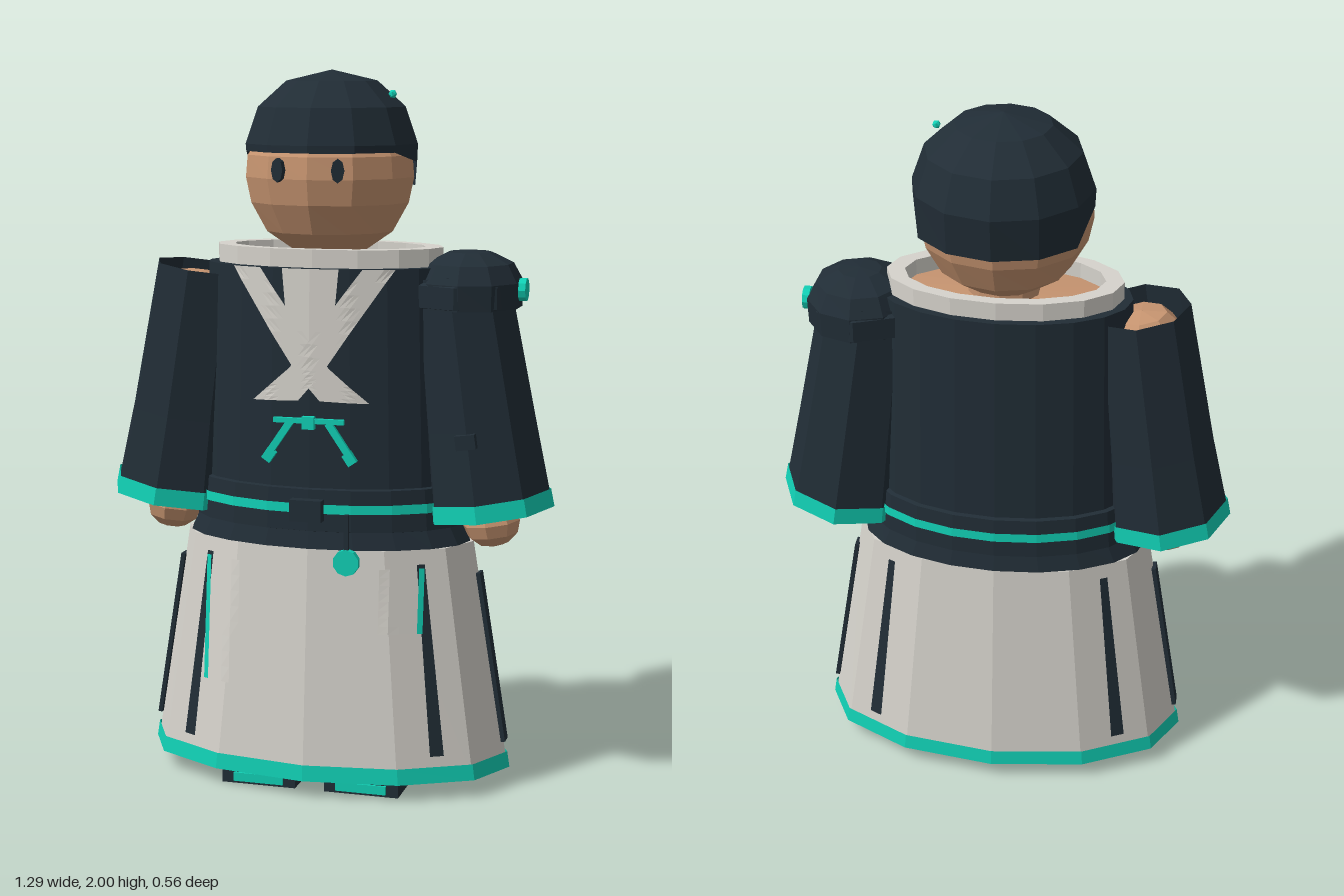
import * as THREE from 'three';

const paint = (name, color) => new THREE.MeshStandardMaterial({ name, color, side: THREE.DoubleSide });

// Elliptical loft: rows of [rx, rz, y] from bottom to top
function loft(rows, n) {
  const g = new THREE.LatheGeometry(rows.map(r => new THREE.Vector2(Math.max(r[0], 0.0001), r[2])), n);
  const p = g.attributes.position;
  for (let i = 0; i < p.count; i++) {
    const r = rows[i % rows.length];
    p.setZ(i, p.getZ(i) * r[1] / Math.max(r[0], 0.0001));
  }
  return g;
}

// Front depth of an n-sided elliptical ring at x
function ringZ(x, rx, rz, n) {
  const step = 2 * Math.PI / n, u = Math.min(Math.abs(x) / rx, 0.999);
  const a = Math.floor(Math.asin(u) / step) * step;
  const t = (u - Math.sin(a)) / (Math.sin(a + step) - Math.sin(a));
  return rz * (Math.cos(a) + t * (Math.cos(a + step) - Math.cos(a)));
}
const TORSO_N = 20, SKIRT_N = 12;
const torsoZ = (x, y) => {
  const t = (y - 0.78) / 0.69;
  return ringZ(x, 0.37 - 0.02 * t, 0.203 - 0.01 * t, TORSO_N);
};
const skirtZ = (x, y) => {
  const t = (y - 0.05) / 0.65;
  return ringZ(x, 0.525 - 0.105 * t, 0.275 - 0.053 * t, SKIRT_N);
};

// Thin patch laid on a surface: corners top-left, top-right, bottom-right, bottom-left
function patch([a, b, c, d], surface, lift, back = 1) {
  const g = new THREE.PlaneGeometry(1, 1, 6, 8), p = g.attributes.position;
  for (let i = 0; i < p.count; i++) {
    const u = p.getX(i) + 0.5, v = 0.5 - p.getY(i);
    const mix = k => (1 - v) * ((1 - u) * a[k] + u * b[k]) + v * ((1 - u) * d[k] + u * c[k]);
    const x = mix(0), y = mix(1);
    p.setXYZ(i, x * back, y, back * (surface(x, y) + lift));
  }
  return g;
}

export function createModel() {
  const root = new THREE.Group();
  root.name = 'robedFigure';
  const dark = paint('dark cloth', 0x212d36);
  const light = paint('pale cloth', 0xd6d3cc);
  const teal = paint('teal trim', 0x11d0b5);
  const skin = paint('skin', 0xc69470);

  // Every mesh is faceted through its own face normals
  const add = (name, geo, mat, pos = [0, 0, 0], rotZ = 0, parent = root) => {
    const g = geo.index ? geo.toNonIndexed() : geo;
    g.computeVertexNormals();
    const m = new THREE.Mesh(g, mat);
    m.name = name;
    m.position.set(...pos);
    m.rotation.z = rotZ;
    parent.add(m);
    return m;
  };
  const box = (x, y, z) => new THREE.BoxGeometry(x, y, z);

  // Skirt and hem
  add('skirt', loft([[0.525, 0.275, 0.05], [0.42, 0.222, 0.7], [0.3, 0.15, 0.7]], SKIRT_N), light);
  add('skirtHem', loft([[0.531, 0.281, 0.05], [0.524, 0.277, 0.095]], SKIRT_N), teal);

  // Skirt stripes: four diagonal, two at the sides
  for (const s of [1, -1]) {
    for (const back of [1, -1]) {
      add('skirtStripe', patch([[s * 0.295, 0.66], [s * 0.315, 0.66], [s * 0.38, 0.125], [s * 0.345, 0.125]],
        skirtZ, 0.008, back), dark);
    }
    add('sideStripe', box(0.012, 0.49, 0.04), dark, [s * 0.476, 0.37, 0], s * 0.16);
  }

  // Skirt pockets with trimmed outer edge
  for (const [x0, x1, y0, edge] of [[-0.31, -0.15, 0.3, -0.315], [0.145, 0.31, 0.47, 0.302]]) {
    const rect = (l, r) => [[l, 0.65], [r, 0.65], [r, y0], [l, y0]];
    add('pocket', patch(rect(x0, x1), skirtZ, 0.006), light);
    add('pocketTrim', patch(rect(edge, edge + 0.014), skirtZ, 0.012), teal);
  }

  // Jacket with short flare, belt and belt stripe
  add('jacket', loft([[0.41, 0.222, 0.7], [0.37, 0.203, 0.78], [0.35, 0.193, 1.47], [0.28, 0.14, 1.47]], TORSO_N), dark);
  add('belt', loft([[0.37, 0.2, 0.745], [0.39, 0.219, 0.75], [0.38, 0.214, 0.865], [0.36, 0.19, 0.87]], TORSO_N), dark);
  add('beltStripe', loft([[0.391, 0.223, 0.8], [0.389, 0.222, 0.826]], TORSO_N), teal);
  add('buckle', box(0.09, 0.06, 0.03), dark, [0, 0.81, 0.23]);

  // Hanging charm
  add('charmCord', box(0.012, 0.11, 0.012), dark, [0.115, 0.75, 0.235]);
  const charm = add('charm', new THREE.CylinderGeometry(0.037, 0.037, 0.02, 10), teal, [0.115, 0.672, 0.235]);
  charm.rotation.x = Math.PI / 2;

  // Crossed lapels, chest panel and flared lapel ends
  add('chestPanel', patch([[-0.08, 1.47], [0.08, 1.47], [0.07, 1.36], [-0.07, 1.36]], torsoZ, 0.006), light);
  add('chestPanelTip', patch([[-0.07, 1.36], [0.07, 1.36], [0.02, 1.26], [-0.02, 1.26]], torsoZ, 0.006), light);
  for (const s of [1, -1]) {
    const lift = s > 0 ? 0.014 : 0.009;
    add('lapel', patch([[s * 0.145, 1.47], [s * 0.23, 1.47], [s * 0.04, 1.19], [-s * 0.055, 1.2]], torsoZ, lift), light);
    add('lapelEnd', patch([[-s * 0.055, 1.2], [s * 0.04, 1.19], [-s * 0.03, 1.11], [-s * 0.165, 1.105]], torsoZ, lift), light);
  }

  // Chest tie: bar, knot and two tails
  add('tieBar', box(0.2, 0.014, 0.012), teal, [0, 1.055, 0.207]);
  add('tieKnot', box(0.035, 0.035, 0.018), teal, [0, 1.05, 0.209]);
  for (const s of [1, -1]) {
    add('tieTail', box(0.02, 0.11, 0.012), teal, [s * 0.085, 1.005, 0.204], s * 0.6);
    add('tieEnd', box(0.028, 0.035, 0.016), teal, [s * 0.115, 0.955, 0.203], s * 0.6);
  }

  // Collar ring, shoulders and neck
  add('collar', loft([[0.325, 0.172, 1.465], [0.325, 0.172, 1.52], [0.275, 0.14, 1.52], [0.275, 0.14, 1.465]], 16), light);
  add('shoulders', loft([[0.3, 0.15, 1.465], [0.28, 0.14, 1.475], [0, 0, 1.485]], 16), skin);
  add('neck', new THREE.CylinderGeometry(0.1, 0.1, 0.12, 10), skin, [0, 1.51, 0]);

  // Head and eyes
  add('head', loft([[0, 0, 1.5], [0.1, 0.095, 1.505], [0.18, 0.175, 1.56], [0.225, 0.215, 1.64],
    [0.24, 0.228, 1.71], [0.235, 0.222, 1.77], [0.2, 0.19, 1.82], [0, 0, 1.9]], 12), skin, [0, 0, -0.005]);
  for (const s of [1, -1]) {
    const eye = add('eye', new THREE.CylinderGeometry(0.018, 0.018, 0.016, 8), dark, [s * 0.083, 1.735, 0.212]);
    eye.rotation.set(Math.PI / 2, 0, -s * 0.25);
    eye.scale.z = 1.8;
  }

  // Hair: lower edge steps down towards the back
  const hairRows = [[0.243, 0.243, 1.78], [0.245, 0.243, 1.8], [0.21, 0.21, 1.9], [0.13, 0.13, 1.97], [0, 0, 2]];
  const hair = loft(hairRows, 12), hp = hair.attributes.position;
  for (let i = 0; i < hp.count; i += hairRows.length) {
    const z = hp.getZ(i);
    hp.setY(i, z > 0.06 ? 1.78 : z > -0.1 ? 1.75 : 1.68);
    if (z < -0.1) hp.setZ(i, z * 0.93);
  }
  add('hair', hair, dark, [0, 0, -0.025]);
  add('hairBead', new THREE.IcosahedronGeometry(0.012, 0), teal, [0.185, 1.935, 0.022]);

  // Arms: open sleeve, cuff trim, inner arm and hand
  const tilt = 0.142;
  for (const s of [1, -1]) {
    const arm = new THREE.Group();
    arm.name = s > 0 ? 'leftArm' : 'rightArm';
    arm.position.set(s * 0.37, 1.45, 0);
    arm.rotation.z = s * tilt;
    root.add(arm);
    const part = (name, geo, mat, pos) => add(name, geo, mat, pos, 0, arm);
    const mid = s > 0 ? 0.162 : 0.158;
    part('sleeve', loft([[0.178, 0.178, -0.665], [mid, mid, -0.42], [0.137, 0.137, 0]], 8), dark);
    part('cuffTrim', loft([[0.183, 0.183, -0.67], [0.18, 0.18, -0.62]], 8), teal);
    part('innerArm', loft([[0.07, 0.07, -0.66], [0.105, 0.105, -0.06], [0.07, 0.07, -0.02], [0, 0, -0.01]], 8), skin);
    const hand = part('hand', new THREE.SphereGeometry(0.082, 8, 6), skin, [0, -0.7, 0]);
    hand.scale.y = 0.85;
  }

  // Left shoulder guard with disc, and sleeve tab
  add('shoulderGuard', loft([[0.145, 0.155, 1.36], [0.148, 0.157, 1.43], [0.12, 0.13, 1.48], [0.06, 0.06, 1.51], [0, 0, 1.515]], 10),
    dark, [0.4, 0, 0]);
  add('shoulderGuardBand', loft([[0.13, 0.14, 1.36], [0.155, 0.16, 1.365], [0.155, 0.16, 1.425], [0.13, 0.14, 1.435]], 8), dark, [0.39, 0, 0]);
  add('shoulderDisc', new THREE.CylinderGeometry(0.032, 0.032, 0.02, 10), teal, [0.55, 1.41, 0], Math.PI / 2);
  add('sleeveTab', box(0.055, 0.04, 0.03), dark, [0.43, 1.01, 0.163], tilt);

  // Boots with toe trim
  for (const s of [1, -1]) {
    add('boot', box(0.215, 0.1, 0.285), dark, [s * 0.15, 0.05, 0.065]);
    add('bootLeg', box(0.17, 0.4, 0.17), dark, [s * 0.15, 0.28, 0.01]);
    add('toeTrim', box(0.145, 0.025, 0.008), teal, [s * 0.15, 0.02, 0.21]);
  }
  return root;
}
